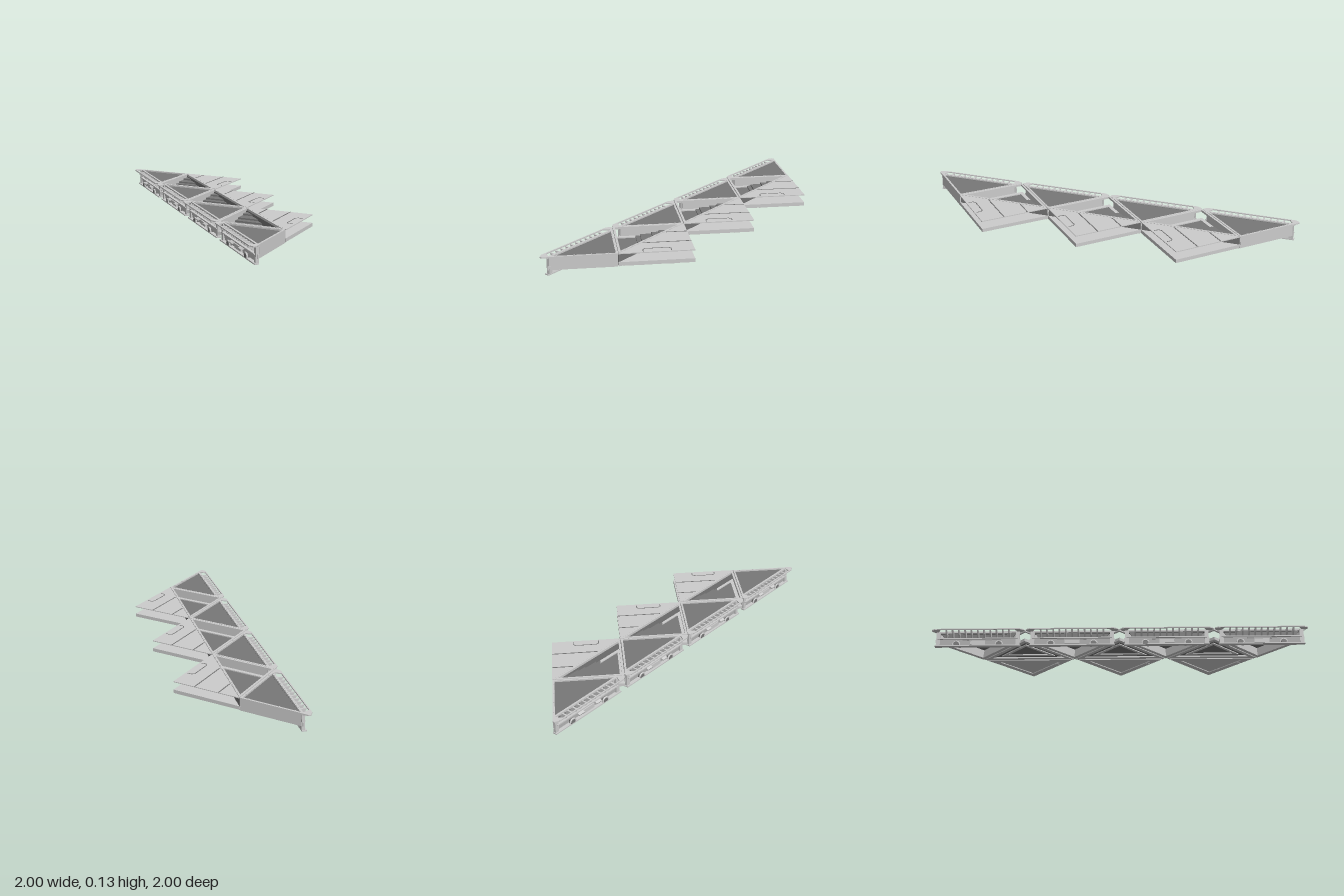
import * as THREE from 'three';

const grey = new THREE.MeshStandardMaterial({ color: 0xcccccc, side: THREE.DoubleSide, flatShading: true });
const dark = new THREE.MeshStandardMaterial({ color: 0x787878, side: THREE.DoubleSide, flatShading: true });

function add(parent, name, geometry, x = 0, y = 0, z = 0, material = grey) {
  const mesh = new THREE.Mesh(geometry, material);
  mesh.name = name;
  mesh.position.set(x, y, z);
  parent.add(mesh);
  return mesh;
}

const box = (w, h, d) => new THREE.BoxGeometry(w, h, d);

// Right triangle of side 0.5, inset by a on the legs and h on the long side
const tri = (a, h) => [[a + h, a], [0.5 - a, a], [0.5 - a, 0.5 - a - h]];
const turn = pts => pts.map(([x, z]) => [1 - x, 0.5 - z]);
const shift = pts => pts.map(([x, z]) => [x + 0.5, z]);
const flip = pts => pts.map(([x, z]) => [0.5 - z, 0.5 - x]);
const outline = pts => new THREE.Shape(pts.map(p => new THREE.Vector2(...p)));

// Vertical prism over an outline in x and z, with an optional hole
function prism(points, y0, y1, hole) {
  const shape = outline(points);
  if (hole) shape.holes.push(outline(hole));
  return new THREE.ExtrudeGeometry(shape, { depth: y1 - y0, bevelEnabled: false })
    .rotateX(Math.PI / 2).translate(0, y1, 0);
}

// Group whose x axis runs along the diagonal and whose z axis points outward
function diagonal(parent, name, x, z) {
  const g = new THREE.Group();
  g.name = name;
  g.position.set(x, 0, z);
  g.rotation.y = -Math.PI / 4;
  parent.add(g);
  return g;
}

// Canopy bracket: a wedge widening from the wall to the outer rim
function bracketGeometry(width) {
  const wedge = outline([[-0.042, 0.066], [-0.03, 0.066], [0.005, 0.095], [0.018, 0.118], [-0.042, 0.118]]);
  return new THREE.ExtrudeGeometry(wedge, { depth: width, bevelEnabled: false })
    .rotateY(-Math.PI / 2).translate(width / 2, 0, 0);
}

// Outer face of a bay: base set back under an open canopy rim
function facade(bay) {
  const f = diagonal(bay, 'facade', 0.25, 0.25);
  add(f, 'baseRail', box(0.64, 0.008, 0.032), 0, 0.004, -0.024);
  add(f, 'lowerWall', box(0.6, 0.055, 0.006), 0, 0.034, -0.032).rotation.x = 0.25;
  add(f, 'middleLedge', box(0.6, 0.008, 0.03), 0, 0.062, -0.026);
  add(f, 'topRail', box(0.6, 0.012, 0.014), 0, 0.119, -0.036);
  add(f, 'canopyRim', box(0.63, 0.008, 0.009), 0, 0.122, 0.022);

  // Upper window band, wider at the top
  const band = outline([[-0.25, 0.062], [0.25, 0.062], [0.28, 0.116], [-0.28, 0.116]]);
  add(f, 'windowBand', new THREE.ExtrudeGeometry(band, { depth: 0.006, bevelEnabled: false }), 0, 0, -0.048, dark);
  const wedge = bracketGeometry(0.012);
  for (let i = -5; i <= 5; i++) {
    add(f, 'canopyBracket', wedge, i * 0.047);
  }

  for (const s of [-1, 1]) {
    // Arched openings with a housing, hoods and end posts
    add(f, 'arch', new THREE.TorusGeometry(0.026, 0.006, 6, 12, Math.PI), s * 0.16, 0.012, -0.012);
    add(f, 'housing', box(0.036, 0.024, 0.026), s * 0.16, 0.02, -0.02, dark);
    add(f, 'hood', box(0.05, 0.01, 0.03), s * 0.085, 0.048, -0.012).rotation.x = 0.4;
    add(f, 'endPost', box(0.03, 0.115, 0.022), s * 0.298, 0.062, -0.03);
    // Legs and braces behind the wall
    add(f, 'leg', box(0.018, 0.1, 0.018), s * 0.14, 0.06, -0.058);
    add(f, 'brace', box(0.014, 0.014, 0.15), s * 0.14, 0.075, -0.115).rotation.x = 0.45;
  }
  add(f, 'centrePanel', box(0.11, 0.03, 0.018), 0, 0.03, -0.026);
}

// Triangular bay with a dark roof
function outerBay() {
  const bay = new THREE.Group();
  bay.name = 'outerBay';
  add(bay, 'roofPanel', prism(tri(0.012, 0.05), 0.108, 0.115), 0, 0, 0, dark);
  add(bay, 'roofFrame', prism(tri(0.002, 0.038), 0.113, 0.126, tri(0.016, 0.054)));
  add(bay, 'lowerFrame', prism(tri(0.002, 0.045), 0.035, 0.062, tri(0.03, 0.07)));
  add(bay, 'backWall', box(0.43, 0.09, 0.012), 0.28, 0.08, 0.008);
  add(bay, 'sideWall', box(0.012, 0.09, 0.43), 0.492, 0.08, 0.22);
  // Thin clipped plates joining the canopy rim to the sharp corners
  const corner = [[0, 0.012], [0.012, 0], [0.07, 0], [0.055, 0.02], [0.04, 0.072], [0.008, 0.042]];
  add(bay, 'cornerPlate', prism(corner, 0.118, 0.126));
  add(bay, 'cornerPlate', prism(flip(corner), 0.118, 0.126));
  // Roof studs
  for (let i = 0; i < 4; i++) {
    add(bay, 'stud', new THREE.CylinderGeometry(0.005, 0.005, 0.003, 8), 0.11 + i * 0.11, 0.127, 0.011);
    add(bay, 'stud', new THREE.CylinderGeometry(0.005, 0.005, 0.003, 8), 0.489, 0.127, 0.06 + i * 0.11);
  }
  facade(bay);
  return bay;
}

// Sunken triangle with terraced steps
function stairWell() {
  const well = new THREE.Group();
  well.name = 'stairWell';
  add(well, 'floor', prism(turn(tri(0.01, 0.01)), 0.043, 0.048), 0, 0, 0, dark);
  add(well, 'rimFrame', prism(turn(tri(0.003, 0.003)), 0.112, 0.127, turn(tri(0.018, 0.024))));
  add(well, 'lowerFrame', prism(turn(tri(0.003, 0.003)), 0.033, 0.055, turn(tri(0.03, 0.045))));
  add(well, 'underFrame', prism(turn(tri(0.06, 0.09)), 0.036, 0.046, turn(tri(0.08, 0.12))));
  // Steps of uneven depth, falling toward the wide end
  [0.1, 0.18, 0.23, 0.31, 0.34].forEach((z, i) => {
    const tread = [[0.512, 0.03], [0.512, z], [0.49 + z, z], [0.52, 0.03]];
    add(well, 'step', prism(tread, 0.046, 0.1 - i * 0.011), 0, 0, 0, dark);
  });
  // Wall along the long side
  const w = diagonal(well, 'longWall', 0.75, 0.25);
  add(w, 'wall', box(0.69, 0.08, 0.008), 0, 0.08, 0.006, dark);
  add(w, 'handrail', box(0.67, 0.008, 0.01), 0, 0.124, 0.012);
  return well;
}

// Corner deck: thin upper plate above a lower slab
function cornerDeck() {
  const deck = new THREE.Group();
  deck.name = 'cornerDeck';
  add(deck, 'upperPlate', prism(shift(tri(0, 0)), 0.12, 0.126));
  add(deck, 'lowerSlab', prism(shift(tri(0, 0)), 0.04, 0.065));
  add(deck, 'slabRim', prism(shift(tri(0.012, 0.02)), 0.034, 0.042, shift(tri(0.05, 0.07))));
  // Plate seams
  for (const x of [0.655, 0.835]) {
    const len = x - 0.51;
    add(deck, 'seam', box(0.008, 0.002, len), x, 0.1265, len / 2, dark);
  }
  // Recess outline, open toward the edge
  add(deck, 'hatchSide', box(0.006, 0.002, 0.15), 0.937, 0.1265, 0.245, dark);
  for (const s of [-1, 1]) {
    add(deck, 'hatchEnd', box(0.035, 0.002, 0.006), 0.968, 0.1265, 0.245 + s * 0.092, dark);
    add(deck, 'hatchCorner', box(0.006, 0.002, 0.024), 0.944, 0.1265, 0.245 + s * 0.083, dark).rotation.y = s * 0.7;
    add(deck, 'underFin', box(0.03, 0.005, 0.09), 0.97, 0.037, 0.24 + s * 0.06).rotation.x = s * 0.08;
  }
  return deck;
}

export function createModel() {
  const model = new THREE.Group();
  model.name = 'steppedPlatform';
  for (let i = 0; i < 4; i++) {
    const parts = i < 3 ? [outerBay(), stairWell(), cornerDeck()] : [outerBay()];
    for (const part of parts) {
      part.position.set(-1 + i * 0.5, 0, -1 + i * 0.5);
      model.add(part);
    }
  }
  return model;
}
